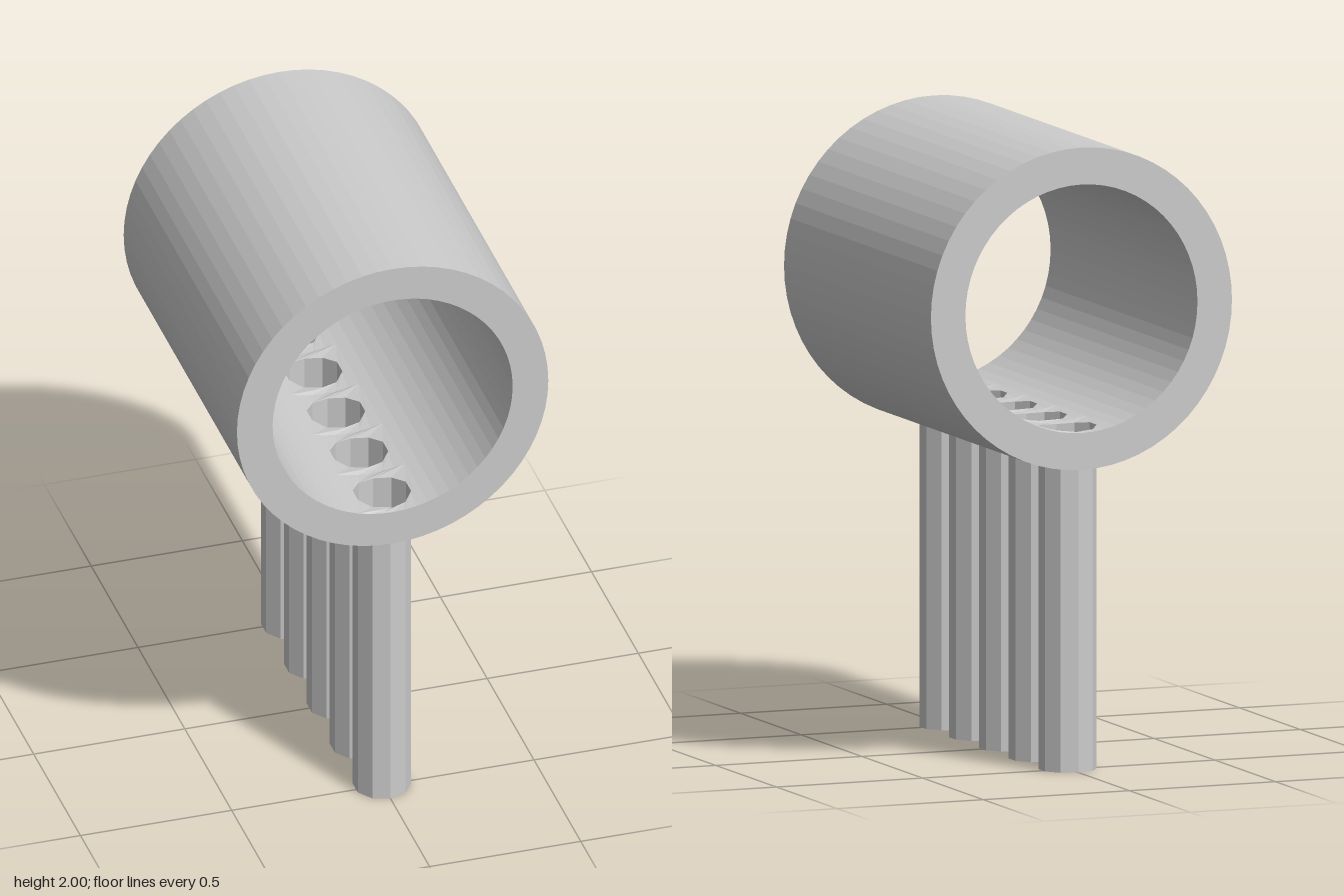
import * as THREE from 'three';

const R = 0.515, BORE = 0.397, CY = 1.485, HALF = 0.605; // barrel
const SEGS = 64, STEP = (Math.PI * 2) / SEGS, CUT = 3;   // CUT: facets each side of the socket strip
const PIN_R = 0.0925, PIN_TOP = 0.98, PIN_SIDES = 10, PITCH = 0.245;

const solid = new THREE.MeshStandardMaterial({ color: 0xcccccc, flatShading: true });
const open = new THREE.MeshStandardMaterial({ color: 0xcccccc, flatShading: true, side: THREE.DoubleSide });

const floorY = (x) => CY - Math.sqrt(BORE * BORE - x * x);

function add(parent, name, geometry, material) {
  const mesh = new THREE.Mesh(geometry, material);
  mesh.name = name;
  parent.add(mesh);
  return mesh;
}

// Piece of bore floor from z0 to z1, pierced by a socket at zc
function floorCell(z0, z1, zc) {
  const pts = [];
  for (let i = -CUT; i <= CUT; i++) pts.push(new THREE.Vector2(BORE * Math.sin(i * STEP), -z1));
  for (let i = CUT; i >= -CUT; i--) pts.push(new THREE.Vector2(BORE * Math.sin(i * STEP), -z0));
  const shape = new THREE.Shape(pts);
  const hole = [];
  for (let i = 0; i < PIN_SIDES; i++) {
    const a = (i / PIN_SIDES) * Math.PI * 2;
    hole.push(new THREE.Vector2(PIN_R * Math.sin(a), PIN_R * Math.cos(a) - zc));
  }
  shape.holes.push(new THREE.Path(hole));
  const g = new THREE.ShapeGeometry(shape).rotateX(-Math.PI / 2);
  const p = g.attributes.position;
  for (let i = 0; i < p.count; i++) p.setY(i, floorY(p.getX(i)));
  g.computeVertexNormals();
  return g;
}

// Socket wall rising from the pin top to the curved bore
function socketWall() {
  const g = new THREE.CylinderGeometry(PIN_R, PIN_R, 1, PIN_SIDES, 1, true);
  const p = g.attributes.position;
  for (let i = 0; i < p.count; i++) p.setY(i, p.getY(i) > 0 ? floorY(p.getX(i)) : PIN_TOP);
  return g;
}

export function createModel() {
  const model = new THREE.Group();
  model.name = 'barrelOnPins';

  // Barrel: outer wall, bore and two end rings
  const barrel = new THREE.Group();
  barrel.name = 'barrel';
  model.add(barrel);
  const outer = new THREE.CylinderGeometry(R, R, HALF * 2, SEGS, 1, true).rotateX(Math.PI / 2);
  add(barrel, 'outerWall', outer, solid).position.y = CY;
  const bore = new THREE.CylinderGeometry(BORE, BORE, HALF * 2, SEGS - 2 * CUT, 1, true,
    CUT * STEP, (SEGS - 2 * CUT) * STEP).rotateX(Math.PI / 2);
  add(barrel, 'boreWall', bore, open).position.y = CY;
  for (const s of [1, -1]) {
    const ring = add(barrel, s > 0 ? 'frontRing' : 'backRing', new THREE.RingGeometry(BORE, R, SEGS), solid);
    ring.position.set(0, CY, s * HALF);
    if (s < 0) ring.rotation.y = Math.PI;
  }

  // Row of pins, each below a socket in the bore floor
  for (let i = -2; i <= 2; i++) {
    const z = i * PITCH;
    const z0 = Math.max(z - PITCH / 2, -HALF), z1 = Math.min(z + PITCH / 2, HALF);
    add(barrel, 'boreFloor', floorCell(z0, z1, z), open);
    add(barrel, 'socketWall', socketWall(), open).position.z = z;
    const pin = new THREE.CylinderGeometry(PIN_R, PIN_R, PIN_TOP, PIN_SIDES);
    add(model, 'pin', pin, solid).position.set(0, PIN_TOP / 2, z);
  }
  return model;
}
